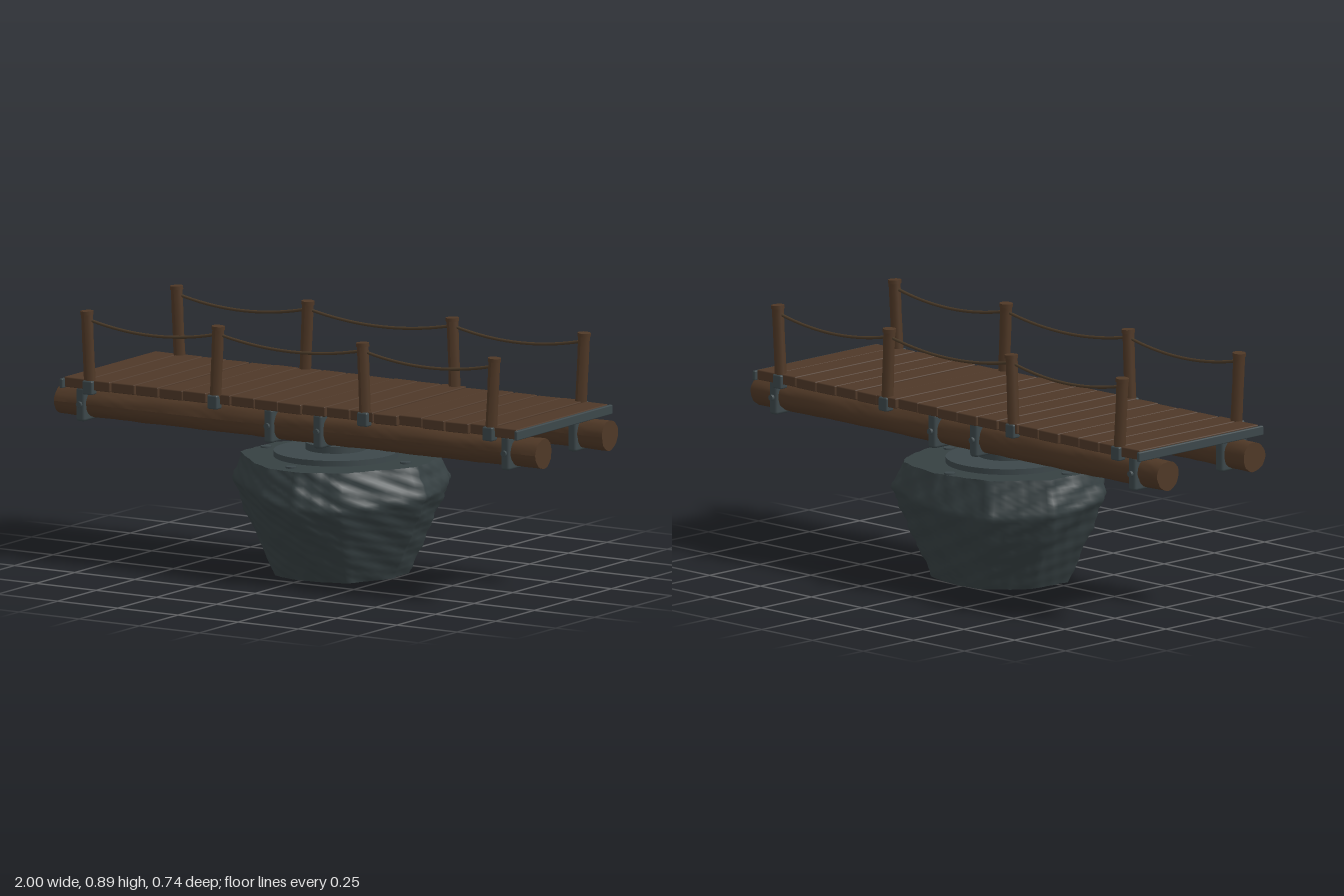
import * as THREE from 'three';
import { RoundedBoxGeometry } from 'three/addons/geometries/RoundedBoxGeometry.js';

const mat = (name, color) => {
  const m = new THREE.MeshStandardMaterial({ color });
  m.name = name;
  return m;
};

export function createModel() {
  const plankWood = mat('plankWood', 0x4e3828);
  const logWood = mat('logWood', 0x4f3826);
  const iron = mat('iron', 0x3c474a);
  const stone = mat('stone', 0x364042);
  const ropeFibre = mat('ropeFibre', 0x4a3a28);
  const bronze = mat('bronze', 0x6e5638);

  const model = new THREE.Group();
  const CZ = -0.024; // middle of the deck in z

  const add = (name, geometry, material, x = 0, y = 0, z = 0, parent = model) => {
    const mesh = new THREE.Mesh(geometry, material);
    mesh.name = name;
    mesh.position.set(x, y, z);
    parent.add(mesh);
    return mesh;
  };
  const group = (name) => {
    const g = new THREE.Group();
    g.name = name;
    model.add(g);
    return g;
  };
  let seed = 11;
  const rand = () => {
    seed = (seed * 16807) % 2147483647;
    return seed / 2147483647 - 0.5;
  };

  // Cylinder with lengthwise ridges, used for logs and posts
  const ridged = (radius, length, sides, rows, rough, phase) => {
    const g = new THREE.CylinderGeometry(radius, radius, length, sides, rows);
    const p = g.attributes.position;
    for (let i = 0; i < p.count; i++) {
      const a = Math.atan2(p.getZ(i), p.getX(i));
      const t = p.getY(i);
      const k = 1 + rough * (Math.sin(3 * a + phase + t * 3) + 0.5 * Math.sin(7 * a - t * 9 + phase)
        + 0.4 * Math.sin(11 * a + 5 * Math.sin(t * 17 + phase)) + 0.4 * Math.sin(t * 23 + 2 * a));
      p.setXYZ(i, p.getX(i) * k, t, p.getZ(i) * k);
    }
    g.computeVertexNormals();
    return g;
  };

  // Boulder: polygon cross-sections widening to a shoulder, with a rough skin
  const outline = [[0.4, 0.02], [0.36, -0.2], [0.28, -0.32], [0.05, -0.375], [-0.2, -0.33], [-0.355, -0.15],
    [-0.355, 0.1], [-0.17, 0.28], [-0.07, 0.345], [0.07, 0.37], [0.23, 0.29]];
  const base = [[0.25, 0.0], [0.24, -0.12], [0.18, -0.22], [0.04, -0.26], [-0.1, -0.24], [-0.21, -0.12],
    [-0.22, 0.05], [-0.13, 0.17], [-0.04, 0.2], [0.06, 0.2], [0.17, 0.16]];
  const perEdge = 11, rows = 36, around = outline.length * perEdge;
  const verts = [], faces = [];
  const ringPoint = (poly, j) => {
    const e = Math.floor(j / perEdge), f = (j % perEdge) / perEdge;
    const a = poly[e], b = poly[(e + 1) % poly.length];
    return [a[0] + (b[0] - a[0]) * f, a[1] + (b[1] - a[1]) * f];
  };
  for (let r = 0; r <= rows; r++) {
    const y = (r / rows) * 0.41;
    for (let j = 0; j < around; j++) {
      const lo = ringPoint(base, j), hi = ringPoint(outline, j);
      const shoulder = 0.3 + 0.025 * Math.sin(j * 4 * Math.PI / around);
      const t = Math.min(1, y / shoulder);
      const s = y > shoulder ? 1 - 0.09 * (y - shoulder) / (0.41 - shoulder) : 1;
      const x = (lo[0] + (hi[0] - lo[0]) * t) * s, z = (lo[1] + (hi[1] - lo[1]) * t) * s;
      const n = Math.sin(x * 31 + y * 23) * Math.sin(z * 29 - y * 37) + 0.6 * Math.sin(x * 67 - z * 53 + y * 71)
        * Math.sin(y * 83 + z * 41) + 0.35 * Math.sin(x * 121 + y * 97) * Math.sin(z * 113 - y * 131);
      const k = 1 + 0.016 * n;
      verts.push(x * k, y, z * k);
    }
  }
  for (let r = 0; r < rows; r++) {
    for (let j = 0; j < around; j++) {
      const a = r * around + j, b = r * around + (j + 1) % around;
      faces.push(a, b, a + around, b, b + around, a + around);
    }
  }
  const boulder = group('boulder');
  const skin = new THREE.BufferGeometry();
  skin.setAttribute('position', new THREE.Float32BufferAttribute(verts, 3));
  skin.setIndex(faces);
  skin.computeVertexNormals();
  add('boulderSide', skin, stone, 0, 0, 0, boulder);
  // Flat caps close the boulder
  const cap = (r, up) => {
    const pts = [];
    for (let j = 0; j < around; j++) {
      const i = (r * around + j) * 3;
      pts.push(new THREE.Vector2(verts[i], up ? -verts[i + 2] : verts[i + 2]));
    }
    return new THREE.ShapeGeometry(new THREE.Shape(pts)).rotateX(up ? -Math.PI / 2 : Math.PI / 2);
  };
  add('boulderTop', cap(rows, true), stone, 0, 0.41, 0, boulder);
  add('boulderBottom', cap(0, false), stone, 0, 0, 0, boulder);

  // Swivel stack between boulder and bridge
  const swivel = group('swivel');
  const disc = (name, r, y0, y1, m) =>
    add(name, new THREE.CylinderGeometry(r, r, y1 - y0, 40), m, 0, (y0 + y1) / 2, CZ, swivel);
  disc('basePlate', 0.219, 0.405, 0.43, iron);
  disc('pivotCore', 0.07, 0.42, 0.5, iron);
  disc('lowerCollar', 0.107, 0.435, 0.46, iron);
  disc('bearingRing', 0.076, 0.46, 0.474, bronze);
  disc('bearingSeat', 0.072, 0.474, 0.49, logWood);
  add('bedPlate', new RoundedBoxGeometry(0.2, 0.05, 0.34, 2, 0.006), iron, 0, 0.515, CZ, swivel);
  for (let i = 0; i < 4; i++) {
    const a = i * Math.PI / 2;
    add('anchorBolt', new THREE.CylinderGeometry(0.02, 0.02, 0.012, 8), iron,
      Math.cos(a) * 0.29, 0.41, CZ + Math.sin(a) * 0.29, swivel);
  }

  // Two long logs with iron clamps
  [[0.19, 1], [-0.24, -1]].forEach(([z, side], n) => {
    const log = add('log', ridged(0.053, 2, 28, 90, 0.03, n * 2.1), logWood, 0, 0.547, z);
    log.rotation.z = Math.PI / 2;
    for (const x of [-0.885, -0.105, 0.1, 0.88]) {
      add('logClamp', new RoundedBoxGeometry(0.036, 0.122, 0.128, 2, 0.01), iron, x, 0.547, z + side * 0.002);
      add('clampBolt', new THREE.CylinderGeometry(0.011, 0.011, 0.016, 8).rotateX(Math.PI / 2), iron,
        x, 0.547, z + side * 0.068);
    }
  });

  // Deck planks, slightly uneven
  const deck = group('deck');
  const count = 19, pitch = 1.89 / count;
  for (let i = 0; i < count; i++) {
    const gap = [3, 6, 15, 18].includes(i) ? 0.008 : 0.004;
    const plank = add('plank', new RoundedBoxGeometry(pitch - gap, 0.036, 0.6 + rand() * 0.014, 1, 0.004), plankWood,
      -0.945 + pitch * (i + 0.5), 0.624 + rand() * 0.004, CZ - 0.002 + rand() * 0.006, deck);
    plank.rotation.z = rand() * 0.02;
  }
  // Iron edge at both deck ends
  for (const s of [-1, 1]) {
    add('endPlate', new RoundedBoxGeometry(0.014, 0.034, 0.62, 1, 0.004), iron, s * 0.945, 0.62, CZ, deck);
  }

  // Railings: leaning posts in iron shoes, joined by sagging ropes
  const posts = [[-0.833, -0.848], [-0.314, -0.302], [0.309, 0.298], [0.83, 0.846]];
  for (const z of [0.268, -0.313]) {
    const railing = group(z > 0 ? 'frontRailing' : 'backRailing');
    const out = Math.sign(z);
    posts.forEach(([xb, xt], i) => {
      const post = add('post', ridged(0.021, 0.275, 10, 8, 0.035, i), logWood, (xb + xt) / 2, 0.742, z, railing);
      const lean = Math.atan2(xb - xt, 0.275);
      post.rotation.z = lean;
      const head = add('postCap', new THREE.CylinderGeometry(0.024, 0.024, 0.013, 10), logWood, xt, 0.879, z, railing);
      head.rotation.z = lean;
      add('postShoe', new RoundedBoxGeometry(0.042, 0.05, 0.036, 2, 0.006), iron, xb, 0.616, z + out * 0.006, railing);
    });
    for (let i = 0; i < 3; i++) {
      const a = new THREE.Vector3(posts[i][1], 0.857, z), b = new THREE.Vector3(posts[i + 1][1], 0.857, z);
      const mid = a.clone().lerp(b, 0.5).setY(0.79);
      add('rope', new THREE.TubeGeometry(new THREE.QuadraticBezierCurve3(a, mid, b), 24, 0.0055, 8), ropeFibre,
        0, 0, 0, railing);
    }
  }
  return model;
}
